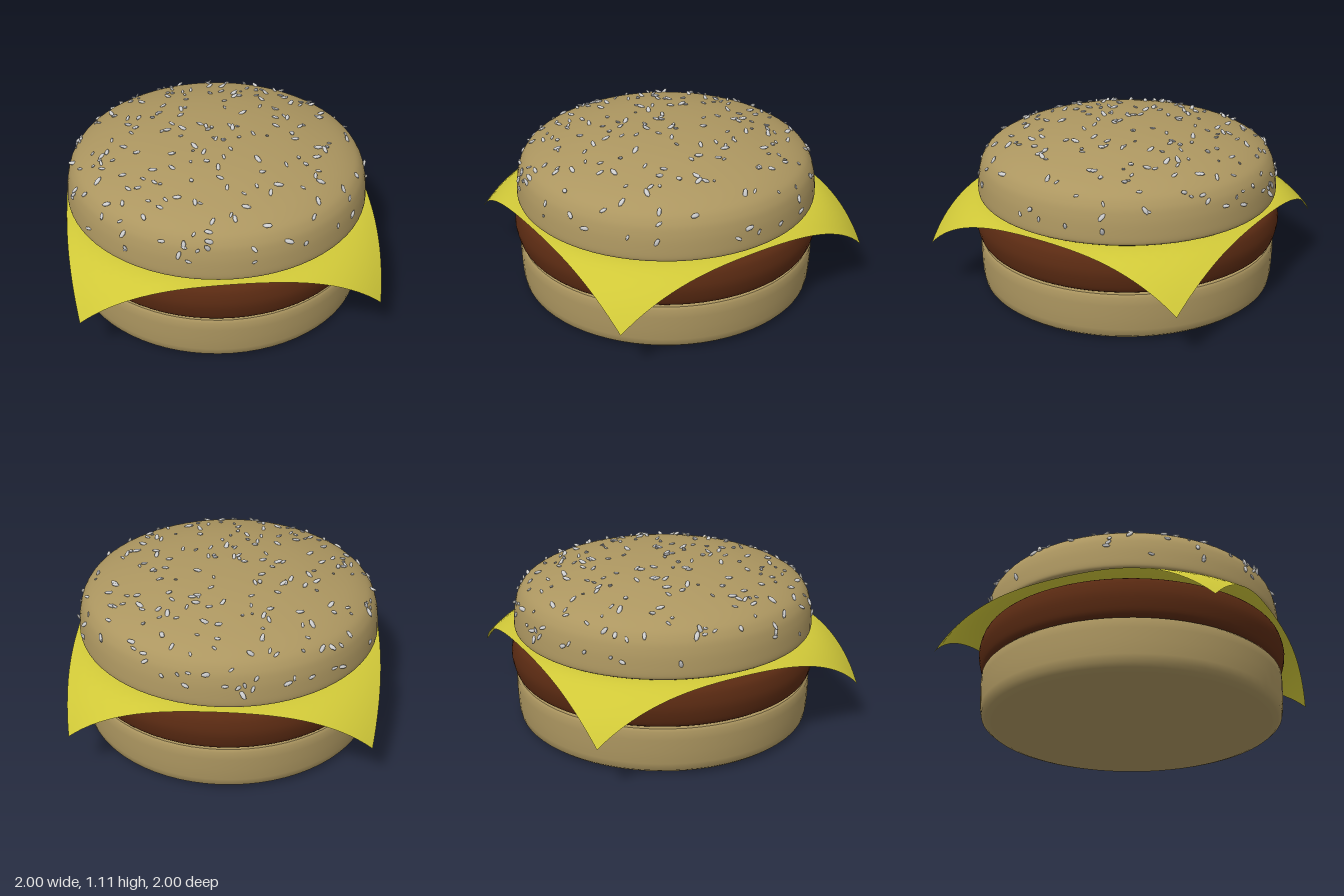
import * as THREE from 'three';
import { mergeGeometries } from 'three/addons/utils/BufferGeometryUtils.js';

const material = (color, side = THREE.FrontSide) =>
  new THREE.MeshStandardMaterial({ color, side });

const vec = ([x, y]) => new THREE.Vector2(x, y);

function addMesh(group, name, geometry, mat) {
  const mesh = new THREE.Mesh(geometry, mat);
  mesh.name = name;
  group.add(mesh);
}

// Smooth rounded side, closed by flat discs whose rims stay crisp.
function roundLayer(sidePoints) {
  const first = sidePoints[0], last = sidePoints[sidePoints.length - 1];
  const parts = [
    [new THREE.Vector2(0, first.y), first],
    sidePoints,
    [last, new THREE.Vector2(0, last.y)],
  ].filter((p) => p[0].distanceTo(p[p.length - 1]) > 0.001);
  return mergeGeometries(parts.map((p) => new THREE.LatheGeometry(p, 72)));
}

function seededRandom(seed) {
  return () => {
    seed = (seed * 16807) % 2147483647;
    return seed / 2147483647;
  };
}

// Square sheet whose corners droop beyond the layer below it.
function cheeseGeometry() {
  const geometry = new THREE.PlaneGeometry(1.97, 1.97, 32, 32).rotateX(-Math.PI / 2);
  const pos = geometry.attributes.position;
  for (let i = 0; i < pos.count; i++) {
    const x = pos.getX(i), z = pos.getZ(i);
    const r = Math.hypot(x, z);
    const bend = Math.pow(Math.max(0, (r - 0.95) / 0.443), 1.6);
    const pull = 1 - 0.07 * bend;
    pos.setXYZ(i, x * pull, 0.618 - 0.006 * Math.min(1, r * r) - 0.285 * bend, z * pull);
  }
  geometry.computeVertexNormals();
  return geometry;
}

// Small tilted grains spread evenly over the dome.
function seedsGeometry(domeCurve, count) {
  const random = seededRandom(4711);
  const base = new THREE.SphereGeometry(1, 7, 5);
  const grains = [];
  const up = new THREE.Vector3(0, 1, 0);
  while (grains.length < count) {
    const u = 0.08 + 0.92 * random();
    const p = domeCurve.getPointAt(u);
    if (random() > p.x / 0.97) continue;
    const t = domeCurve.getTangentAt(u);
    const angle = random() * Math.PI * 2;
    const c = Math.cos(angle), s = Math.sin(angle);
    const normal = new THREE.Vector3(t.y * c, -t.x, t.y * s);
    const place = new THREE.Object3D();
    place.position.set(p.x * c, p.y, p.x * s).addScaledVector(normal, 0.005);
    place.quaternion.setFromUnitVectors(up, normal);
    place.rotateY(random() * Math.PI * 2);
    place.rotateZ((random() - 0.5) * 1.4);
    const size = 0.7 + 0.6 * random();
    place.scale.set(0.026 * size, 0.008 * size, 0.012 * size);
    place.updateMatrix();
    grains.push(base.clone().applyMatrix4(place.matrix));
  }
  return mergeGeometries(grains);
}

export function createModel() {
  const group = new THREE.Group();
  const bun = material(0xac9660);

  const bottomBun = [
    [0.9, 0], [0.935, 0.012], [0.96, 0.033], [0.969, 0.08],
    [0.974, 0.16], [0.976, 0.24], [0.974, 0.295], [0.96, 0.31],
  ].map(vec);
  addMesh(group, 'bottomBun', roundLayer(bottomBun), bun);

  const patty = new THREE.SplineCurve([
    [0.93, 0.312], [0.965, 0.33], [0.985, 0.37], [1, 0.45],
    [0.988, 0.52], [0.965, 0.56], [0.92, 0.582],
  ].map(vec)).getPoints(18);
  addMesh(group, 'patty', roundLayer(patty), material(0x5a2a12));

  addMesh(group, 'cheese', cheeseGeometry(), material(0xd0c838, THREE.DoubleSide));

  // Top bun: soft lower lip rising into a shallow dome
  const dome = new THREE.SplineCurve([
    [0.955, 0.625], [0.974, 0.645], [0.972, 0.71], [0.96, 0.79], [0.935, 0.86],
    [0.88, 0.92], [0.75, 0.982], [0.5, 1.048], [0.25, 1.08], [0, 1.09],
  ].map(vec));
  addMesh(group, 'topBun', roundLayer(dome.getPoints(54)), bun);

  addMesh(group, 'sesameSeeds', seedsGeometry(dome, 240), material(0xcccccc));
  return group;
}
